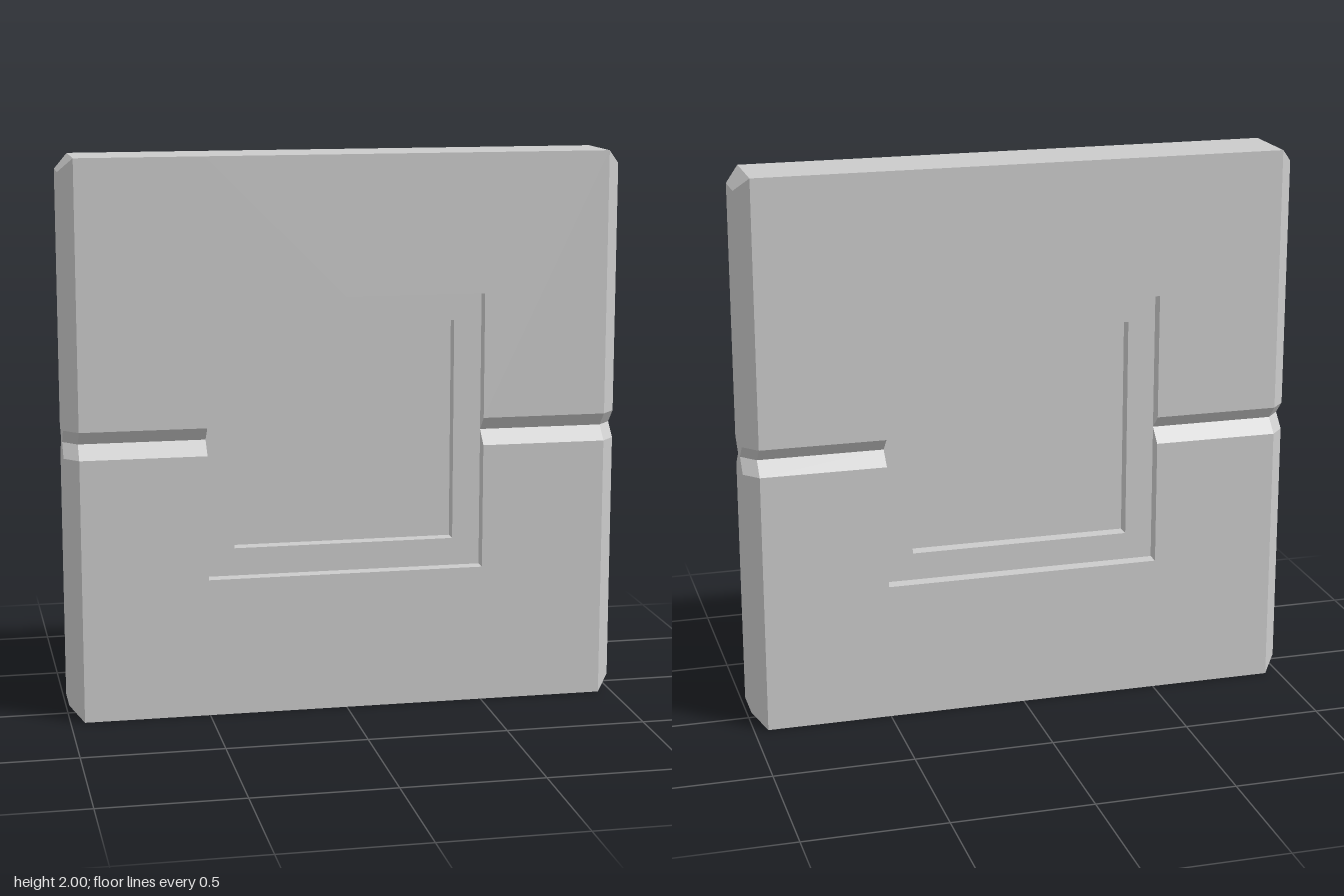
import * as THREE from 'three';

const material = new THREE.MeshStandardMaterial({ color: 0xcccccc, flatShading: true });

// Key sizes, measured from the centre of the slab
const FACE = 0.125;             // half thickness
const RIM = 0.07;               // half thickness at the end faces
const END = 1, INNER = 0.95;    // end face and start of the end bevel
const GROOVE = 0.05;            // groove half height and depth
const FLOOR1 = FACE - 0.05, FLOOR2 = FLOOR1 - 0.05;
const R1 = 0.5, R2 = 0.4;       // half widths of the two square recesses

// Quads describe one octant (x, y, z >= 0); mirror them into all eight
function octantMesh(name, quads) {
  const positions = [];
  for (const sx of [1, -1]) for (const sy of [1, -1]) for (const sz of [1, -1]) {
    const order = sx * sy * sz > 0 ? [0, 1, 2, 0, 2, 3] : [0, 2, 1, 0, 3, 2];
    for (const quad of quads) {
      for (const i of order) {
        const [x, y, z] = quad[i];
        positions.push(x * sx, y * sy, z * sz);
      }
    }
  }
  const geometry = new THREE.BufferGeometry();
  geometry.setAttribute('position', new THREE.Float32BufferAttribute(positions, 3));
  geometry.computeVertexNormals();
  const mesh = new THREE.Mesh(geometry, material);
  mesh.name = name;
  return mesh;
}

// Flat rectangle facing +z
const panel = (x0, x1, y0, y1, z) => [[x0, y0, z], [x1, y0, z], [x1, y1, z], [x0, y1, z]];

// Inward-facing walls of a square recess; notch cuts the side wall at the groove
const recessWalls = (r, z0, z1, notch = 0) => [
  [[r, 0, z0], [r, notch, z1], [r, r, z1], [r, r, z0]],
  [[0, r, z0], [r, r, z0], [r, r, z1], [0, r, z1]],
];

export function createModel() {
  const group = new THREE.Group();
  group.name = 'squarePanel';

  // Broad faces, top and bottom
  group.add(octantMesh('slab', [
    panel(0, R1, R1, 1, FACE),
    panel(R1, INNER, GROOVE, 1, FACE),
    [[0, 1, FACE], [INNER, 1, FACE], [INNER, 1, 0], [0, 1, 0]],
  ]));

  // Bevelled ends
  group.add(octantMesh('bevelledEnds', [
    [[INNER, GROOVE, FACE], [END, GROOVE, RIM], [END, INNER, RIM], [INNER, 1, FACE]],
    [[INNER, 1, FACE], [END, INNER, RIM], [END, INNER, 0], [INNER, 1, 0]],
    [[END, GROOVE, RIM], [END, GROOVE, 0], [END, INNER, 0], [END, INNER, RIM]],
    [[END, 0, RIM - GROOVE], [END, 0, 0], [END, GROOVE, 0], [END, GROOVE, RIM]],
  ]));

  // V-shaped grooves at mid height, following the end bevels
  const apex = FACE - GROOVE;
  group.add(octantMesh('sideGrooves', [
    [[R1, 0, apex], [INNER, 0, apex], [INNER, GROOVE, FACE], [R1, GROOVE, FACE]],
    [[INNER, 0, apex], [END, 0, RIM - GROOVE], [END, GROOVE, RIM], [INNER, GROOVE, FACE]],
  ]));

  // Two stepped square recesses on each face
  group.add(octantMesh('outerRecess', [
    ...recessWalls(R1, FLOOR1, FACE, GROOVE),
    panel(R2, R1, 0, R1, FLOOR1),
    panel(0, R2, R2, R1, FLOOR1),
  ]));
  group.add(octantMesh('innerRecess', [
    ...recessWalls(R2, FLOOR2, FLOOR1),
    panel(0, R2, 0, R2, FLOOR2),
  ]));

  for (const part of group.children) part.position.y = 1;
  return group;
}
